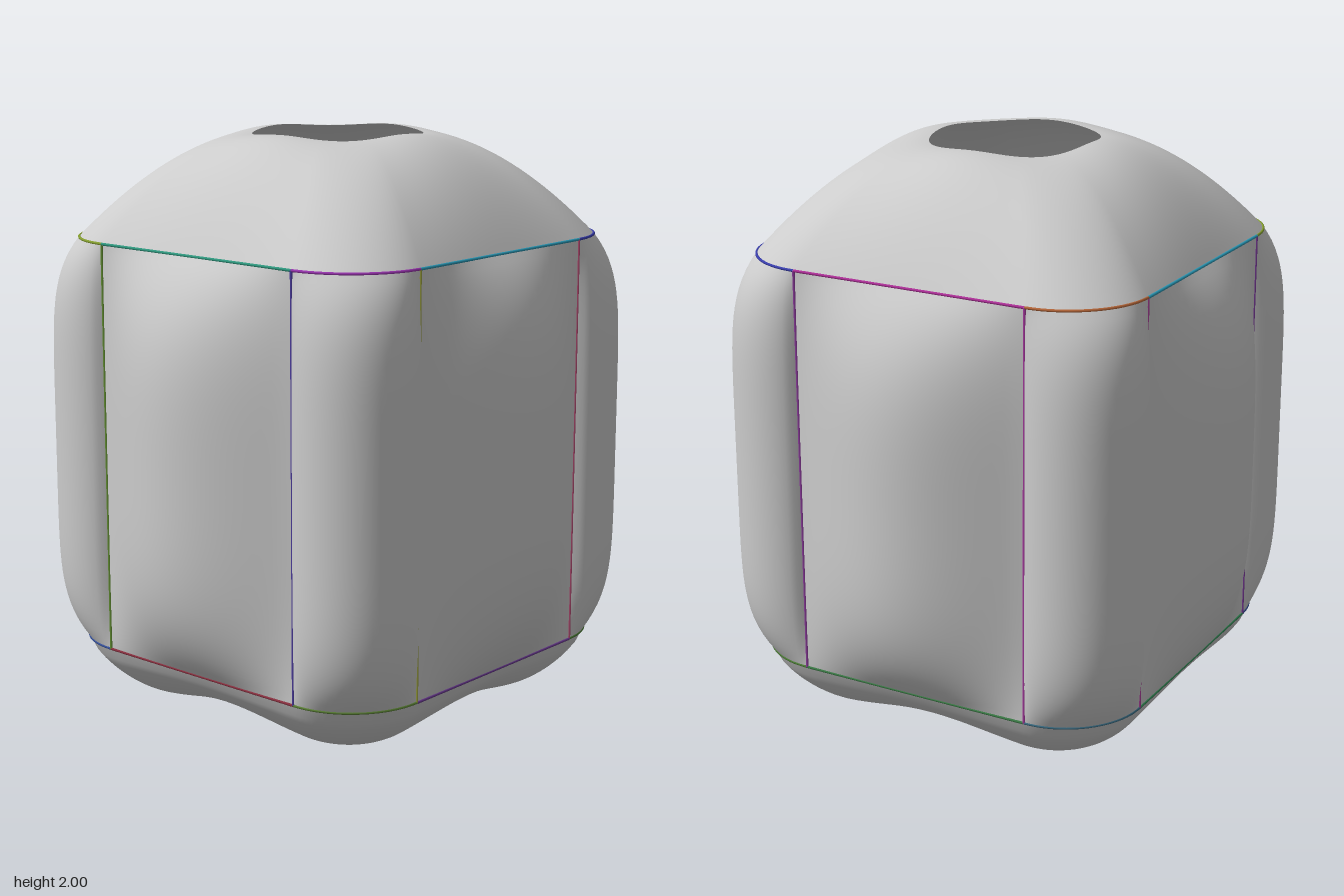
import * as THREE from 'three';

const HALF = 0.715, FLAT = 0.43, LOW = 0.21, HIGH = 1.64, RING = 0.265;
const R = HALF - FLAT;

// Point and outward normal on the rounded-square seam; panel 0..7 alternates side, corner
function seamPoint(panel, u) {
  let x, z, nx = 1, nz = 0;
  if (panel % 2 === 0) {
    x = HALF; z = -FLAT + 2 * FLAT * u;
  } else {
    nx = Math.cos(u * Math.PI / 2); nz = Math.sin(u * Math.PI / 2);
    x = FLAT + R * nx; z = FLAT + R * nz;
  }
  for (let q = 0; q < Math.floor(panel / 2); q++) {
    [x, z] = [-z, x];
    [nx, nz] = [-nz, nx];
  }
  return { x, z, nx, nz };
}

// Point all the way round the seam, t = 0..1
function loopPoint(t) {
  const s = (t % 1) * 8, panel = Math.floor(s);
  return seamPoint(panel, s - panel);
}

const diagonal = (a) => Math.sin(2 * a) ** 2;

// Grid surface from fn(u, v) -> [x, y, z]; closed joins the u ends
function surface(name, cols, rows, closed, fn) {
  const pos = [], index = [], n = closed ? cols : cols + 1;
  for (let j = 0; j <= rows; j++)
    for (let i = 0; i < n; i++) pos.push(...fn(i / cols, j / rows));
  for (let j = 0; j < rows; j++)
    for (let i = 0; i < cols; i++) {
      const a = j * n + i, b = j * n + (i + 1) % n;
      index.push(a, a + n, b, b, a + n, b + n);
    }
  const geo = new THREE.BufferGeometry();
  geo.setAttribute('position', new THREE.Float32BufferAttribute(pos, 3));
  geo.setIndex(index);
  geo.computeVertexNormals();
  const mesh = new THREE.Mesh(geo, new THREE.MeshStandardMaterial({ color: 0xcccccc, side: THREE.DoubleSide }));
  mesh.name = name;
  return mesh;
}

// Thin coloured cord along a list of points
function cord(name, points, color, closed = false) {
  const curve = new THREE.CatmullRomCurve3(points, closed);
  const geo = new THREE.TubeGeometry(curve, points.length * 2, 0.005, 6, closed);
  const mesh = new THREE.Mesh(geo, new THREE.MeshStandardMaterial({ color }));
  mesh.name = name;
  return mesh;
}

export function createModel() {
  const model = new THREE.Group();
  model.name = 'inflatedPouf';

  // Puffed side panels and narrow corner lobes
  for (let p = 0; p < 8; p++) {
    const corner = p % 2 === 1;
    model.add(surface(corner ? 'cornerPanel' : 'sidePanel', 28, 48, false, (u, v) => {
      const b = seamPoint(p, u), t = Math.abs(2 * v - 1);
      const across = Math.max(0, Math.sin(Math.PI * u));
      const puff = corner
        ? 0.1 * across ** 0.7 * (1 - t ** 6)
        : 0.16 * across ** 1.15 * (1 - t ** 4);
      return [b.x + b.nx * puff, LOW + (HIGH - LOW) * v, b.z + b.nz * puff];
    }));
  }

  // Domed top running in to the round opening
  model.add(surface('topPanel', 160, 28, true, (u, v) => {
    const b = loopPoint(u), a = Math.atan2(b.z, b.x), d = diagonal(a);
    const r = 0.277 + 0.018 * d;
    const x = THREE.MathUtils.lerp(b.x, r * Math.cos(a), v);
    const z = THREE.MathUtils.lerp(b.z, r * Math.sin(a), v);
    return [x, HIGH + (0.36 - 0.012 * d) * (1 - (1 - v) ** (2.05 - 0.3 * d)), z];
  }));

  // Bottom cushion, deepest toward the corners
  model.add(surface('bottomPanel', 160, 28, true, (u, v) => {
    const b = loopPoint(u), a = Math.atan2(b.z, b.x);
    const x = THREE.MathUtils.lerp(RING * Math.cos(a), b.x, v);
    const z = THREE.MathUtils.lerp(RING * Math.sin(a), b.z, v);
    const sag = (0.15 + 0.06 * diagonal(a)) * Math.max(0, Math.sin(Math.PI * v)) ** 0.7;
    return [x, LOW - sag, z];
  }));

  // Small puffed disc in the middle of the bottom
  model.add(surface('bottomDisc', 64, 14, true, (u, v) => {
    const a = u * Math.PI * 2;
    return [RING * v * Math.cos(a), LOW - 0.08 * (1 - v * v), RING * v * Math.sin(a)];
  }));

  // Seam cords
  const topColors = [0xb0309a, 0x3a3fb0, 0x2a9ab8, 0x9a35b0, 0x2f9a80, 0x86a030, 0x2a9ab8, 0xb8683a];
  const lowColors = [0x3a7a45, 0x4a7a35, 0x6a3a90, 0x5a8035, 0x8a3040, 0x35509a, 0x2f7f4f, 0x3a6a80];
  const postColors = [0x8a3a9a, 0xb04a70, 0x9aa040, 0x4a3a9a, 0x5f8a30, 0x7a3a9a, 0xa03a90, 0xa83aa0];
  for (let p = 0; p < 8; p++) {
    const row = (y) => Array.from({ length: 9 }, (_, i) => {
      const b = seamPoint(p, i / 8);
      return new THREE.Vector3(b.x, y, b.z);
    });
    const top = row(HIGH), low = row(LOW);
    model.add(cord('topSeam', top, topColors[p]));
    model.add(cord('bottomSeam', low, lowColors[p]));
    model.add(cord('uprightSeam', [low[8], top[8]], postColors[p]));
  }
  const ring = Array.from({ length: 32 }, (_, i) => {
    const a = i / 32 * Math.PI * 2;
    return new THREE.Vector3(RING * Math.cos(a), LOW, RING * Math.sin(a));
  });
  model.add(cord('discSeam', ring, 0xb04040, true));

  return model;
}
